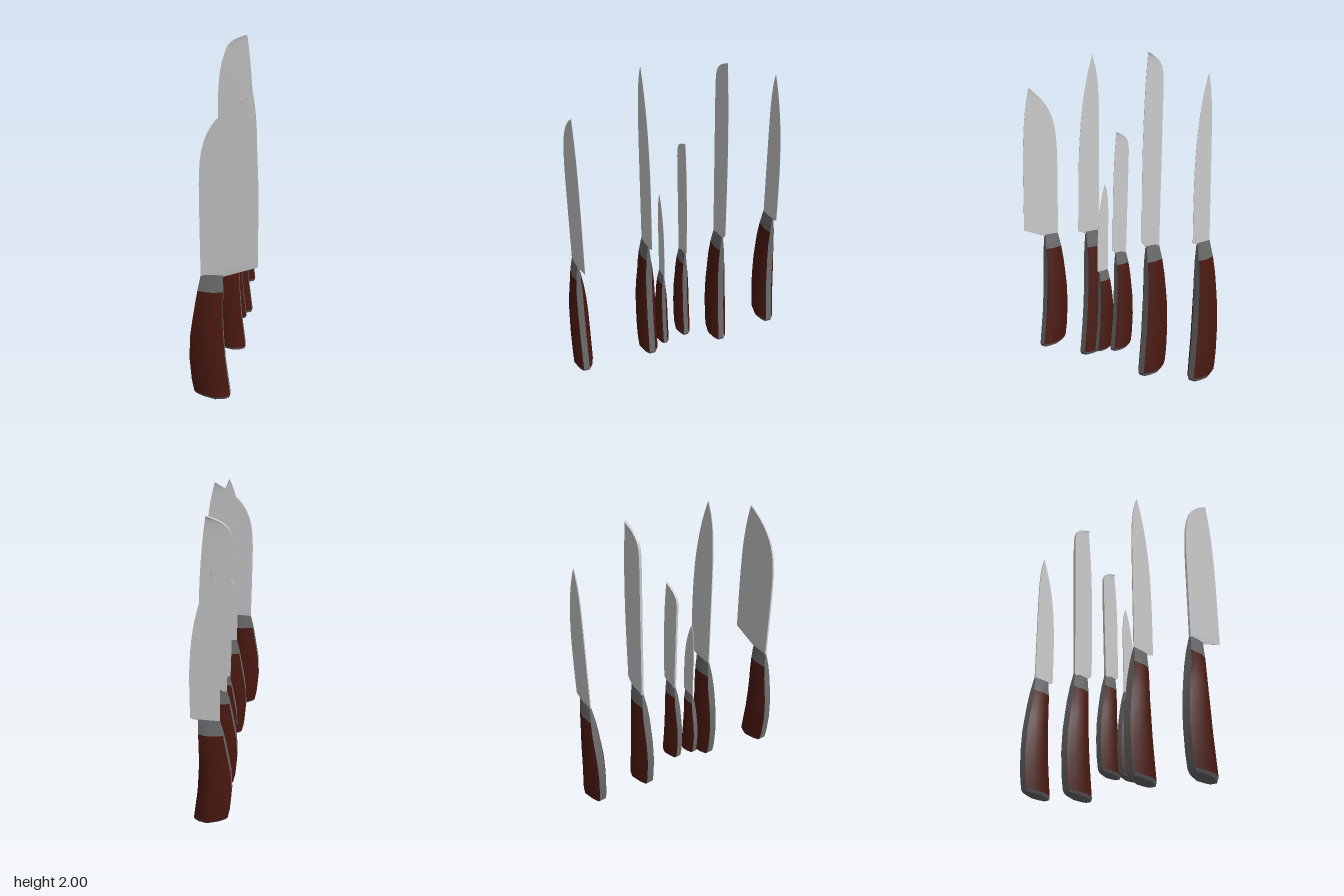
import * as THREE from 'three';
import { toCreasedNormals } from 'three/addons/utils/BufferGeometryUtils.js';

const steel = new THREE.MeshStandardMaterial({ color: 0xcccccc });
const darkSteel = new THREE.MeshStandardMaterial({ color: 0x6a6a6a });
const wood = new THREE.MeshStandardMaterial({ color: 0x4a1810 });

// Skin a stack of cross-sections (bottom to top, each running from +x over +z to -x)
function loft(name, rows, material, closed = true) {
  const n = rows[0].length, index = [];
  for (let i = 0; i < rows.length - 1; i++) {
    for (let j = 0; j < (closed ? n : n - 1); j++) {
      const k = (j + 1) % n, a = i * n + j, b = i * n + k;
      index.push(a, a + n, b, b, a + n, b + n);
    }
  }
  const geo = new THREE.BufferGeometry();
  geo.setAttribute('position', new THREE.Float32BufferAttribute(rows.flat(2), 3));
  geo.setIndex(index);
  const mesh = new THREE.Mesh(toCreasedNormals(geo, 0.6), material);
  mesh.name = name;
  return mesh;
}

// Ring shrunk to its centre, closing an end
function closeRing(ring) {
  const c = [0, 1, 2].map((k) => ring.reduce((s, p) => s + p[k], 0) / ring.length);
  return ring.map(() => c);
}

// Handle outline: height, back x, front x, half thickness
const HANDLE = [
  [0, -0.08, 0.11, 0.054], [0.018, -0.094, 0.118, 0.064], [0.1, -0.108, 0.108, 0.065],
  [0.25, -0.118, 0.09, 0.065], [0.4, -0.112, 0.08, 0.062], [0.5, -0.098, 0.076, 0.056],
  [0.6, -0.082, 0.076, 0.045], [0.7, -0.066, 0.078, 0.029], [0.8, -0.046, 0.078, 0.008],
];

// Ten-sided handle section; points 0-4 and 5-9 are the two wooden sides
function handleRing([y, xb, xf, h], k) {
  const w = xf - xb;
  const strip = Math.min(0.02, h * 0.5);
  const side = [[xf, strip], [xf - 0.13 * w, h * 0.68], [xf - 0.4 * w, h],
    [xf - 0.78 * w, h * 0.75], [xb, strip * 1.2]];
  const ring = [...side, ...side.map(([x, z]) => [x, -z]).reverse()];
  return ring.map(([x, z]) => {
    const skew = 0.025 * ((xf - x) / w) * (1 - y / 0.8); // slanted butt
    return [k.x + x * k.s, k.y + (y + skew) * k.len / 0.8, z * k.s];
  });
}

function makeHandle(k) {
  const group = new THREE.Group();
  group.name = 'handle';
  const rings = HANDLE.map((r) => handleRing(r, k));
  const body = rings.slice(1, 8);
  const part = (ids) => body.map((r) => ids.map((i) => r[i]));
  group.add(
    loft('buttCap', [closeRing(rings[0]), rings[0], rings[1]], darkSteel),
    loft('leftScale', part([0, 1, 2, 3, 4]), wood, false),
    loft('rightScale', part([5, 6, 7, 8, 9]), wood, false),
    loft('backTang', part([4, 5]), darkSteel, false),
    loft('frontTang', part([9, 0]), darkSteel, false),
    loft('bolster', [...rings.slice(7), closeRing(rings[8])], darkSteel),
  );
  return group;
}

// Wedge-shaped blade section between spine and cutting edge
function bladeRing(y, spine, edge, t) {
  const mid = spine + 0.35 * (edge - spine);
  return [[edge, y, 0.0008], [mid, y, t * 0.8], [spine, y, t],
    [spine, y, -t], [mid, y, -t * 0.8], [edge, y, -0.0008]];
}

// Blade rising from the bolster; spine and edge sweep into the tip as powers of height
function makeBlade(k) {
  const spine0 = k.x - 0.047 * k.s;
  const rings = [bladeRing(k.y + k.len - 0.01, spine0, k.x + 0.078 * k.s, k.t)];
  const steps = 20;
  for (let i = 0; i <= steps; i++) {
    const u = 1 - (1 - i / steps) ** 2;
    const back = spine0 + k.lean * u;
    const spine = back + (k.tipX - back) * u ** k.spinePow;
    const edge = k.edge + (k.tipX - k.edge) * u ** k.edgePow;
    rings.push(bladeRing(k.heel + (k.tip - k.heel) * u, spine, edge, k.t));
  }
  return loft('blade', [closeRing(rings[0]), ...rings, closeRing(rings.at(-1))], steel);
}

// Handle: x, y, z, scale s, length. Blade: half thickness t, heel and tip heights,
// edge and tip x, spine lean, and how late the spine and edge curve in
const KNIVES = [
  { name: 'wideChefKnife', x: -0.0785, y: 0, z: 0.66, s: 1, len: 0.8,
    t: 0.006, heel: 0.855, tip: 1.8, edge: 0.192, tipX: 0.13, lean: -0.005, spinePow: 7.5, edgePow: 4.5 },
  { name: 'carvingKnife', x: -0.0175, y: 0.06, z: 0.217, s: 1, len: 0.82,
    t: 0.003, heel: 0.89, tip: 2, edge: 0.128, tipX: -0.009, lean: -0.01, spinePow: 9, edgePow: 3.4 },
  { name: 'paringKnife', x: -0.0025, y: 0.1, z: 0.113, s: 0.65, len: 0.53,
    t: 0.002, heel: 0.635, tip: 1.19, edge: 0.065, tipX: -0.01, lean: -0.012, spinePow: 8, edgePow: 3.4 },
  { name: 'smallSantokuKnife', x: -0.0025, y: 0.14, z: -0.032, s: 0.78, len: 0.635,
    t: 0.007, heel: 0.79, tip: 1.525, edge: 0.085, tipX: 0.05, lean: -0.03, spinePow: 28, edgePow: 3 },
  { name: 'slicingKnife', x: -0.0025, y: 0.045, z: -0.285, s: 1, len: 0.805,
    t: 0.008, heel: 0.88, tip: 1.99, edge: 0.118, tipX: 0.065, lean: -0.035, spinePow: 30, edgePow: 3 },
  { name: 'utilityKnife', x: -0.0025, y: 0.105, z: -0.65, s: 1, len: 0.81,
    t: 0.003, heel: 0.92, tip: 1.86, edge: 0.12, tipX: -0.013, lean: -0.004, spinePow: 9, edgePow: 3.3 },
];

export function createModel() {
  const model = new THREE.Group();
  model.name = 'knifeSet';
  for (const k of KNIVES) {
    const knife = new THREE.Group();
    knife.name = k.name;
    knife.add(makeHandle(k), makeBlade(k));
    knife.position.z = k.z;
    model.add(knife);
  }
  return model;
}
